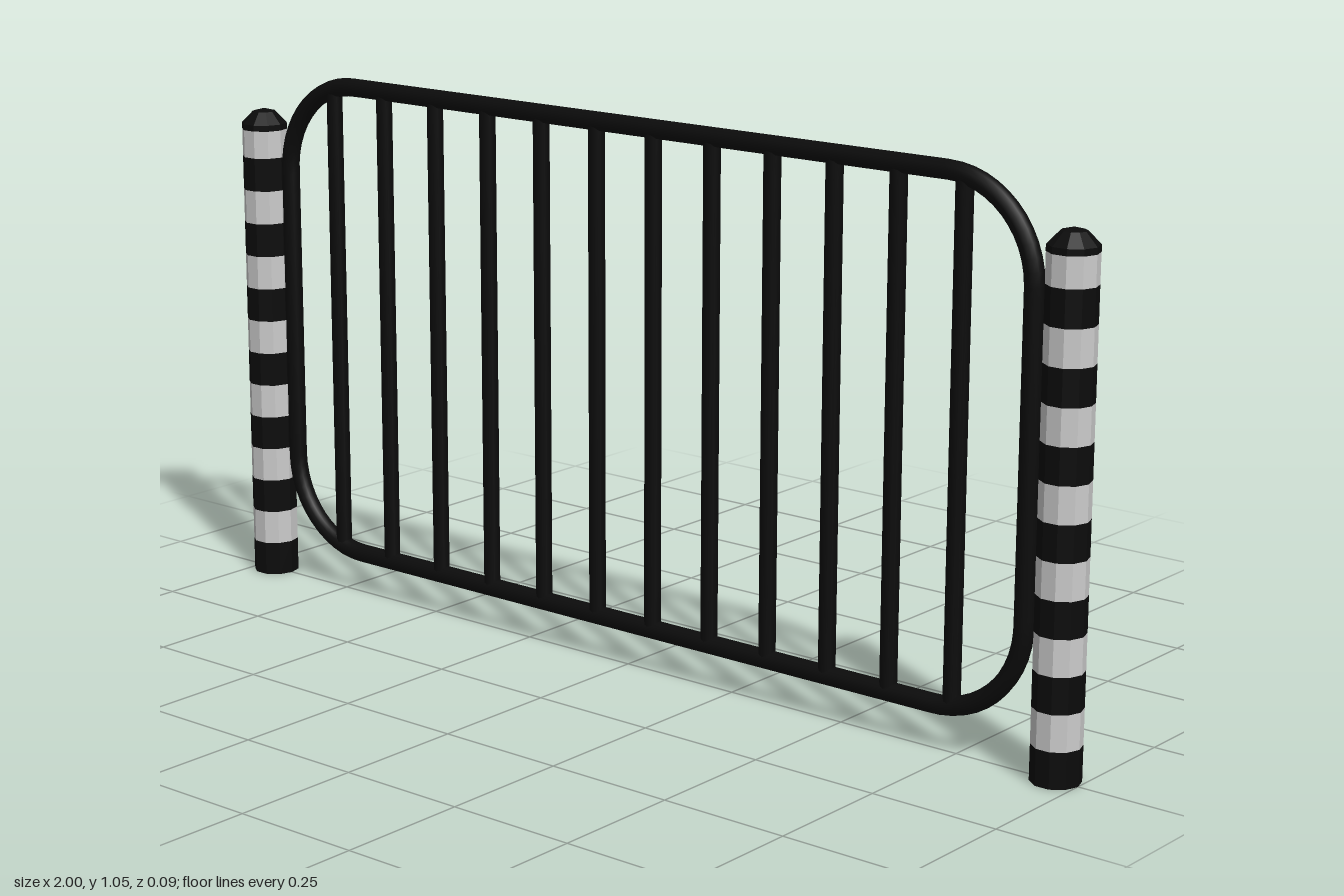
import * as THREE from 'three';

const black = new THREE.MeshStandardMaterial({ color: 0x0b0b0b });
const blackFlat = new THREE.MeshStandardMaterial({ color: 0x0b0b0b, flatShading: true });
const grey = new THREE.MeshStandardMaterial({ color: 0xcccccc, flatShading: true });

const HALF_W = 0.882, BOTTOM = 0.082, TOP = 1.032, CORNER = 0.18, TUBE_R = 0.018;
const POST_X = 0.955, POST_R = 0.0455, POST_SIDES = 10, BANDS = 14, BAND_H = 0.0669;

function addMesh(parent, name, geometry, material) {
  const mesh = new THREE.Mesh(geometry, material);
  mesh.name = name;
  parent.add(mesh);
  return mesh;
}

// Closed rounded rectangle made of straight runs and quarter-round corners
function framePath() {
  const path = new THREE.CurvePath();
  const k = CORNER * 0.4477;
  const v = (x, y) => new THREE.Vector3(x, y, 0);
  const corners = [[HALF_W, BOTTOM], [HALF_W, TOP], [-HALF_W, TOP], [-HALF_W, BOTTOM]];
  const dirs = [[1, 0], [0, 1], [-1, 0], [0, -1]];
  let previous = v(-HALF_W + CORNER, BOTTOM);
  corners.forEach(([x, y], i) => {
    const [ax, ay] = dirs[i], [bx, by] = dirs[(i + 1) % 4];
    const start = v(x - ax * CORNER, y - ay * CORNER);
    const end = v(x + bx * CORNER, y + by * CORNER);
    path.add(new THREE.LineCurve3(previous, start));
    path.add(new THREE.CubicBezierCurve3(
      start, v(x - ax * k, y - ay * k), v(x + bx * k, y + by * k), end));
    previous = end;
  });
  return path;
}

// Striped post with a low pointed cap
function createPost(name, x) {
  const post = new THREE.Group();
  post.name = name;
  for (let i = 0; i < BANDS; i++) {
    const band = addMesh(post, i % 2 ? 'greyBand' : 'blackBand',
      new THREE.CylinderGeometry(POST_R, POST_R, BAND_H, POST_SIDES, 1, i > 0),
      i % 2 ? grey : blackFlat);
    band.position.y = (i + 0.5) * BAND_H;
  }
  const h = BANDS * BAND_H;
  const cap = [[POST_R + 0.0003, h - 0.012], [POST_R + 0.0003, h], [0.023, 0.96], [0, 0.966]]
    .map(([r, y]) => new THREE.Vector2(r, y));
  addMesh(post, 'postCap', new THREE.LatheGeometry(cap, POST_SIDES), blackFlat);
  post.rotation.y = Math.PI / 2;
  post.position.x = x;
  return post;
}

export function createModel() {
  const model = new THREE.Group();
  model.name = 'railing';

  // Outer tube frame
  addMesh(model, 'frame', new THREE.TubeGeometry(framePath(), 220, TUBE_R, 12, true), black);

  // Vertical bars, shortened where they meet the rounded corners
  const bars = new THREE.Group();
  bars.name = 'bars';
  model.add(bars);
  for (let i = 0; i < 12; i++) {
    const x = -0.754 + i * 0.1356;
    const over = Math.max(0, Math.abs(x) - (HALF_W - CORNER));
    const drop = CORNER - Math.sqrt(CORNER * CORNER - over * over);
    const bar = addMesh(bars, 'bar',
      new THREE.CylinderGeometry(0.016, 0.016, TOP - BOTTOM - 2 * drop, 12), black);
    bar.position.set(x, (TOP + BOTTOM) / 2, 0);
  }

  model.add(createPost('leftPost', POST_X), createPost('rightPost', -POST_X));
  return model;
}
